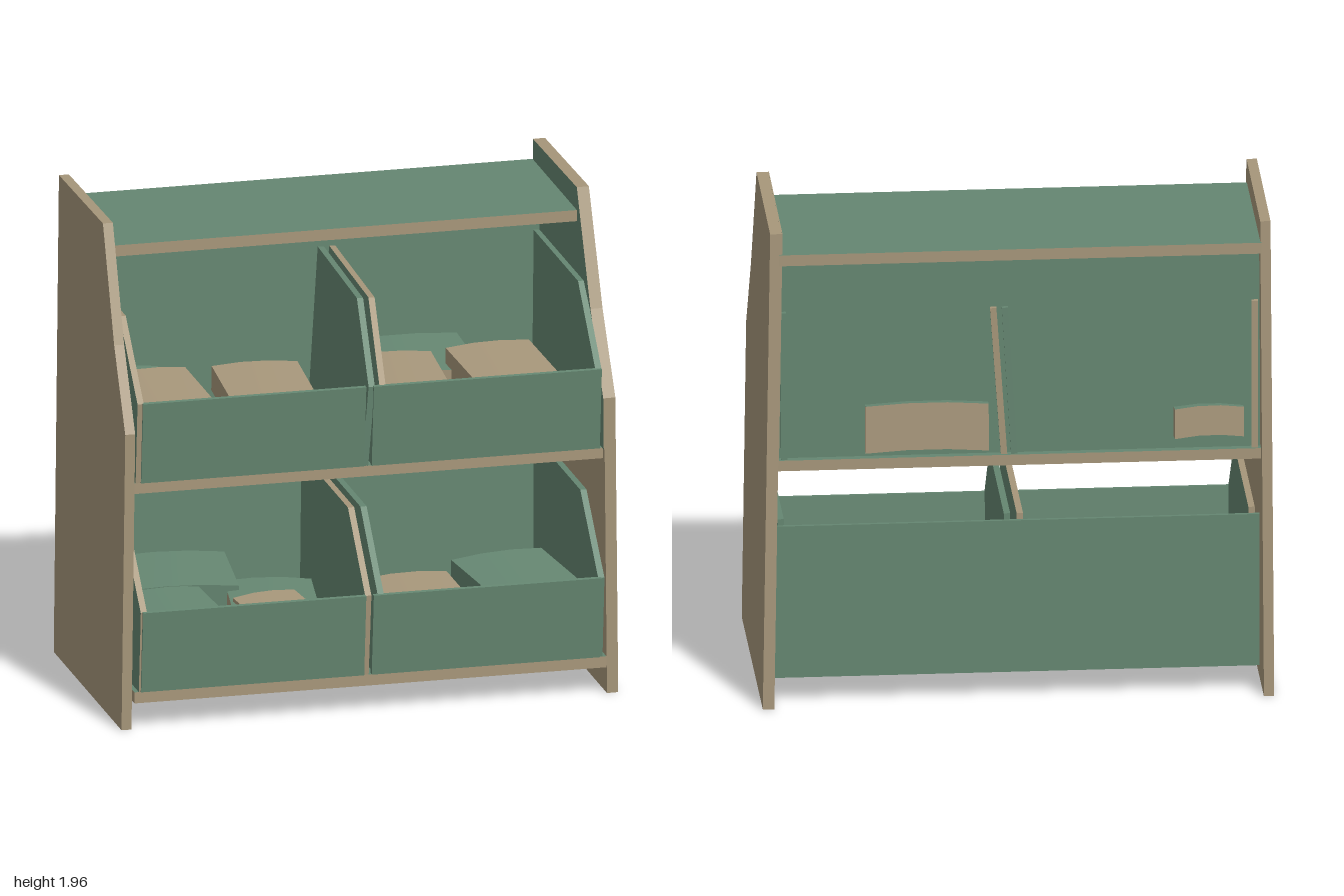
import * as THREE from 'three';

const mat = (name, color) => {
  const m = new THREE.MeshStandardMaterial({ color });
  m.name = name;
  return m;
};

export function createModel() {
  const group = new THREE.Group();
  const wood = mat('beige wood', 0xa6967a);
  const green = mat('sage green', 0x658671);

  const add = (name, geometry, material, x, y, z) => {
    const mesh = new THREE.Mesh(geometry, material);
    mesh.name = name;
    mesh.position.set(x, y, z);
    group.add(mesh);
    return mesh;
  };
  // Box from its limits on each axis
  const box = (name, [x0, x1], [y0, y1], [z0, z1], material) =>
    add(name, new THREE.BoxGeometry(x1 - x0, y1 - y0, z1 - z0), material,
      (x0 + x1) / 2, (y0 + y1) / 2, (z0 + z1) / 2);
  // Upright board cut from a (z, y) outline, centred on its thickness
  const board = (name, outline, thick, materials, x, y, lean, yaw = 0) => {
    const shape = new THREE.Shape(outline.map(([z, h]) => new THREE.Vector2(z, h)));
    const geo = new THREE.ExtrudeGeometry(shape, { depth: thick, bevelEnabled: false });
    geo.translate(0, 0, -thick / 2).rotateY(-Math.PI / 2);
    add(name, geo, materials, x, y, 0).rotation.set(0, yaw, lean);
  };

  // Side panels with a sloping upper front edge; the left one is lined green at the top
  const slope = [[0.53, 1.21], [0.35, 1.52], [0.165, 1.96], [-0.52, 1.95]];
  const side = [[0.5, 0], ...slope, [-0.555, 0]];
  board('rightSidePanel', side, 0.04, wood, -0.977, 0, -0.006);
  board('leftSidePanel', side, 0.045, wood, 0.973, 0, 0.016);
  board('leftLining', [[0.525, 1.0], ...slope, [-0.535, 1.0]], 0.004, [green, wood], 0.949, 0, 0.016);

  // Shelves: green faces with wooden front and back edges
  const faced = [green, green, green, green, wood, wood];
  box('topShelf', [-0.95, 0.93], [1.82, 1.865], [-0.53, 0.16], faced);
  box('middleShelf', [-0.955, 0.94], [0.957, 1.0], [-0.485, 0.5], faced);
  box('bottomShelf', [-0.945, 0.95], [0.105, 0.15], [-0.475, 0.5],
    [wood, wood, green, wood, wood, wood]);

  // Back panels
  box('upperBackPanel', [-0.95, 0.93], [1.0, 1.82], [-0.455, -0.44], green);
  box('lowerBackPanel', [-0.945, 0.945], [0.105, 0.73], [-0.49, -0.475], green);

  // Two rows of open bins; each wall is x, lean, yaw, materials
  const edged = [green, wood];
  const rows = [
    { y: 0.15, walls: [[-0.915, 0, 0, edged], [-0.018, -0.01, 0, edged],
      [0.032, -0.01, 0, green], [0.92, 0, 0, green]] },
    { y: 1.0, walls: [[-0.928, 0, 0, edged], [-0.005, -0.06, -0.03, green],
      [0.035, -0.07, -0.03, edged], [0.905, -0.01, 0, green]] },
  ];
  const wallOutline = [[0.5, 0], [0.53, 0.33], [0.25, 0.605], [-0.475, 0.605], [-0.475, 0]];
  for (const { y, walls } of rows) {
    for (const [x, lean, yaw, materials] of walls) {
      board('binWall', wallOutline, 0.025, materials, x, y, lean, yaw);
    }
    for (const [x0, x1] of [[-0.92, -0.025], [0.005, 0.92]]) {
      // Front panel tips outward toward its top edge
      const front = box('binFront', [x0, x1], [y, y + 0.333], [0.505, 0.523], green);
      front.rotation.x = 0.1;
    }
  }

  // Flat packs lying in the bins: x, top, z, width, depth, height, turn, materials
  const greenTop = [wood, wood, green, wood, wood, wood];
  const packs = [
    [-0.74, 1.26, 0.12, 0.33, 0.44, 0.1, 0.05, wood],
    [-0.325, 1.26, 0.14, 0.34, 0.45, 0.1, -0.05, wood],
    [0.22, 1.26, 0.14, 0.32, 0.44, 0.1, -0.05, wood],
    [0.64, 1.26, 0.11, 0.34, 0.44, 0.1, 0.06, wood],
    [-0.74, 1.17, -0.3, 0.27, 0.38, 0.12, 0.05, greenTop],
    [0.35, 1.21, -0.26, 0.48, 0.46, 0.19, 0, greenTop],
    [-0.72, 0.41, 0.22, 0.34, 0.36, 0.1, 0.1, green],
    [-0.6, 0.43, -0.16, 0.42, 0.38, 0.14, -0.1, green],
    [-0.3, 0.39, 0.15, 0.34, 0.4, 0.1, -0.15, greenTop],
    [-0.32, 0.4, 0.24, 0.26, 0.2, 0.06, 0.15, wood],
    [0.27, 0.39, 0.2, 0.34, 0.36, 0.1, 0.05, wood],
    [0.68, 0.42, 0.15, 0.38, 0.42, 0.12, 0.15, green],
  ];
  for (const [x, top, z, w, d, h, turn, material] of packs) {
    const geo = new THREE.BoxGeometry(w, h, d, 3, 1, 1);
    const p = geo.attributes.position;
    // Soft sag across the width
    for (let i = 0; i < p.count; i++) {
      if (Math.abs(p.getX(i)) > w * 0.4) p.setY(i, p.getY(i) - 0.01);
    }
    geo.computeVertexNormals();
    const pack = add('pack', geo, material, x, top - h / 2, z);
    pack.rotation.set(0.06, turn, 0);
  }

  return group;
}
